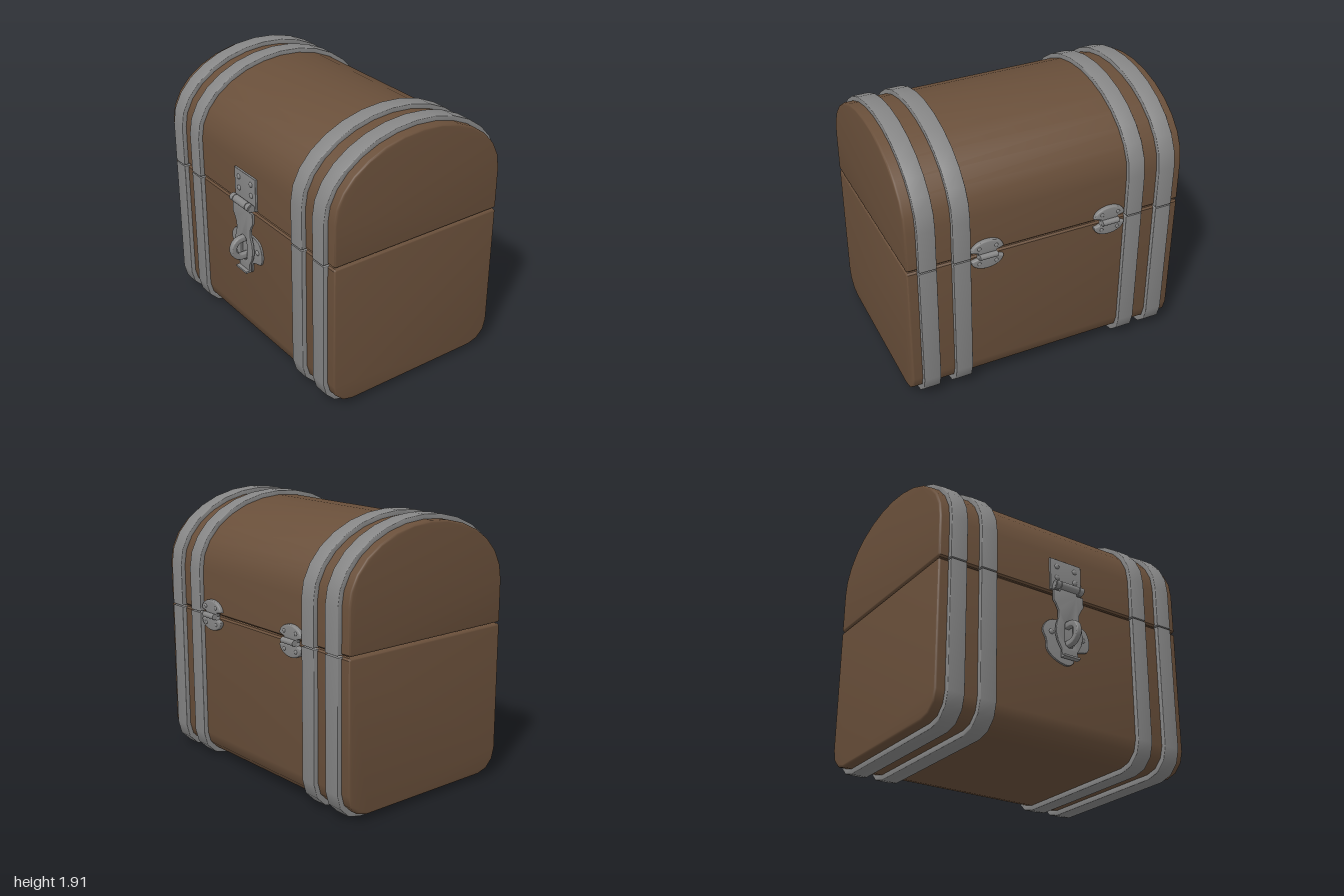
import * as THREE from 'three';
import { toCreasedNormals } from 'three/addons/utils/BufferGeometryUtils.js';

const wood = new THREE.MeshStandardMaterial({ color: 0x694f3a });
wood.name = 'brown wood';
const metal = new THREE.MeshStandardMaterial({ color: 0x868686 });
metal.name = 'grey metal';

const SEAM = 1.105, GAP = 0.005, ARCH_Y = 1.41, MID_Z = -0.05;
const FRONT = 0.632, BACK = -0.732;

function add(parent, name, geometry, material, x = 0, y = 0, z = 0) {
  const mesh = new THREE.Mesh(geometry, material);
  mesh.name = name;
  mesh.position.set(x, y, z);
  parent.add(mesh);
  return mesh;
}

// Extrusion with a rounded edge that stays inside the outline, centred in depth
function slab(shape, thickness, bevel) {
  const depth = thickness - 2 * bevel;
  const g = new THREE.ExtrudeGeometry(shape, {
    depth, bevelEnabled: true, bevelSize: bevel, bevelOffset: -bevel,
    bevelThickness: bevel, bevelSegments: 3, curveSegments: 12,
  });
  g.translate(0, 0, -depth / 2);
  return toCreasedNormals(g, 0.6);
}

// Side profile extruded across the width
const across = (shape, width, bevel) => slab(shape, width, bevel).rotateY(Math.PI / 2);

// Open outlines running from one side of the seam to the other
function lidCurve(half, top) {
  const pts = [[half, SEAM + GAP]];
  for (let i = 0; i <= 14; i++) {
    const a = (i / 14) * Math.PI;
    pts.push([half * Math.cos(a), ARCH_Y + (top - ARCH_Y) * Math.sin(a)]);
  }
  pts.push([-half, SEAM + GAP]);
  return pts;
}

function baseCurve(half, bottom, r) {
  const pts = [[-half, SEAM - GAP]];
  for (const s of [-1, 1]) {
    for (let i = 0; i <= 3; i++) {
      const a = ((s < 0 ? i : 3 - i) / 3) * Math.PI / 2;
      pts.push([s * (half - r + r * Math.cos(a)), bottom + r - r * Math.sin(a)]);
    }
  }
  pts.push([half, SEAM - GAP]);
  return pts;
}

const toShape = (pts) => new THREE.Shape(pts.map(([x, y]) => new THREE.Vector2(x, y)));

// Trims the two corners at the seam
function easeSeam(pts, dir) {
  const e = 0.012, n = pts.length;
  const [ax, ay] = pts[0], [bx, by] = pts[n - 1];
  return [[ax - Math.sign(ax) * e, ay], [ax, ay + dir * e], ...pts.slice(1, n - 1),
    [bx, by + dir * e], [bx - Math.sign(bx) * e, by]];
}

function rivet(parent, x, y, z, r = 0.018, dir = 1) {
  const g = new THREE.SphereGeometry(r, 12, 6, 0, Math.PI * 2, 0, Math.PI / 2);
  g.scale(1, 0.6, 1).rotateX(dir * Math.PI / 2);
  add(parent, 'rivet', g, metal, x, y, z);
}

function barrel(parent, name, length, r, x, y, z) {
  add(parent, name, new THREE.CylinderGeometry(r, r, length, 16).rotateZ(Math.PI / 2), metal, x, y, z);
}

function makeLatch() {
  const latch = new THREE.Group();
  latch.name = 'latch';

  // Plate fixed to the lid
  const upper = toShape([[-0.13, 1.13], [0.13, 1.13], [0.13, 1.37], [-0.13, 1.37]]);
  add(latch, 'lidPlate', slab(upper, 0.02, 0.003), metal, 0, 0, FRONT + 0.005);
  for (const x of [-0.075, 0.075]) for (const y of [1.23, 1.315]) rivet(latch, x, y, FRONT + 0.014, 0.02);

  // Hinge barrel in three knuckles
  barrel(latch, 'hingePin', 0.235, 0.018, 0, 1.158, 0.677);
  barrel(latch, 'middleKnuckle', 0.145, 0.028, 0, 1.158, 0.677);
  for (const s of [-1, 1]) {
    barrel(latch, 'sideKnuckle', 0.036, 0.028, s * 0.096, 1.158, 0.677);
    add(latch, 'knuckleTab', new THREE.BoxGeometry(0.036, 0.04, 0.03), metal, s * 0.096, 1.145, 0.652);
  }

  // Swinging hasp with a waisted outline and a slot
  const side = [[0.065, 0.63], [0.065, 0.69], [0.095, 0.74], [0.112, 0.80], [0.105, 0.86],
    [0.085, 0.92], [0.085, 0.97], [0.105, 1.01], [0.125, 1.04], [0.125, 1.115], [0.07, 1.115], [0.07, 1.15]];
  const hasp = toShape([...side, ...side.map(([x, y]) => [-x, y]).reverse()]);
  const slot = new THREE.Path();
  slot.absarc(0, 0.865, 0.038, 0, Math.PI, false);
  slot.absarc(0, 0.745, 0.038, Math.PI, Math.PI * 2, false);
  slot.closePath();
  hasp.holes.push(slot);
  add(latch, 'hasp', slab(hasp, 0.018, 0.003), metal, 0, 0, 0.665);
  add(latch, 'haspLip', new THREE.BoxGeometry(0.13, 0.014, 0.04), metal, 0, 0.635, 0.682);

  // Backing plate for the staple
  const outline = [[-0.2, 0.81], [-0.16, 0.88], [-0.1, 0.905], [0.1, 0.905], [0.16, 0.88], [0.188, 0.80],
    [0.17, 0.73], [0.11, 0.71], [0.065, 0.69], [0.05, 0.62], [0, 0.59], [-0.11, 0.62], [-0.165, 0.67], [-0.172, 0.74]];
  const curve = new THREE.CatmullRomCurve3(outline.map(([x, y]) => new THREE.Vector3(x, y, 0)), true);
  const plate = toShape(curve.getPoints(48).slice(0, -1).map((p) => [p.x, p.y]).reverse());
  add(latch, 'staplePlate', slab(plate, 0.02, 0.003), metal, 0, 0, FRONT + 0.004);
  for (const x of [-0.13, 0.13]) rivet(latch, x, 0.808, FRONT + 0.013, 0.02);

  // Staple loop passing through the slot
  const loop = new THREE.Shape();
  loop.moveTo(0.06, 0.09);
  loop.lineTo(0, 0.09);
  loop.absarc(0, 0, 0.09, Math.PI / 2, Math.PI * 1.5, false);
  loop.lineTo(0.06, -0.09);
  loop.lineTo(0.06, -0.047);
  loop.lineTo(0, -0.047);
  loop.absarc(0, 0, 0.047, Math.PI * 1.5, Math.PI / 2, true);
  loop.lineTo(0.06, 0.047);
  loop.closePath();
  add(latch, 'staple', across(loop, 0.042, 0.008), metal, 0, 0.81, 0.692);
  return latch;
}

function makeHinge(x) {
  const hinge = new THREE.Group();
  hinge.name = 'backHinge';
  // Rounded leaves above and below the seam
  for (const s of [1, -1]) {
    const pts = [[-0.06, 0], [0.06, 0], [0.068, 0.022]];
    for (let i = 0; i <= 12; i++) {
      const a = (i / 12) * Math.PI;
      pts.push([0.115 * Math.cos(a), 0.035 + 0.075 * Math.sin(a)]);
    }
    pts.push([-0.068, 0.022]);
    const leaf = add(hinge, s > 0 ? 'upperLeaf' : 'lowerLeaf', slab(toShape(pts), 0.04, 0.01), metal);
    if (s < 0) leaf.rotation.z = Math.PI;
    for (const rx of [-0.06, 0.06]) rivet(hinge, rx, s * 0.06, -0.019, 0.014, -1);
  }
  barrel(hinge, 'hingeBarrel', 0.125, 0.02, 0, 0, -0.03);
  hinge.position.set(x, SEAM, BACK - 0.008);
  return hinge;
}

export function createModel() {
  const chest = new THREE.Group();
  chest.name = 'chest';

  // Wooden lid and base
  const lid = toShape(easeSeam(lidCurve(0.682, 1.88), 1));
  const base = toShape(easeSeam(baseCurve(0.682, 0.037, 0.16), -1));
  add(chest, 'lid', across(lid, 2, 0.015), wood, 0, 0, MID_Z);
  add(chest, 'base', across(base, 2, 0.015), wood, 0, 0, MID_Z);

  // Metal straps, split at the seam
  const lidBand = toShape([...lidCurve(0.715, 1.912), ...lidCurve(0.665, 1.862).reverse()]);
  const baseBand = toShape([...baseCurve(0.715, 0, 0.19), ...baseCurve(0.665, 0.05, 0.14).reverse()]);
  for (const x of [-0.868, -0.636, 0.632, 0.868]) {
    add(chest, 'lidStrap', across(lidBand, 0.122, 0.005), metal, x, 0, MID_Z);
    add(chest, 'baseStrap', across(baseBand, 0.122, 0.005), metal, x, 0, MID_Z);
  }

  chest.add(makeLatch());
  for (const x of [-0.45, 0.45]) chest.add(makeHinge(x));
  return chest;
}
